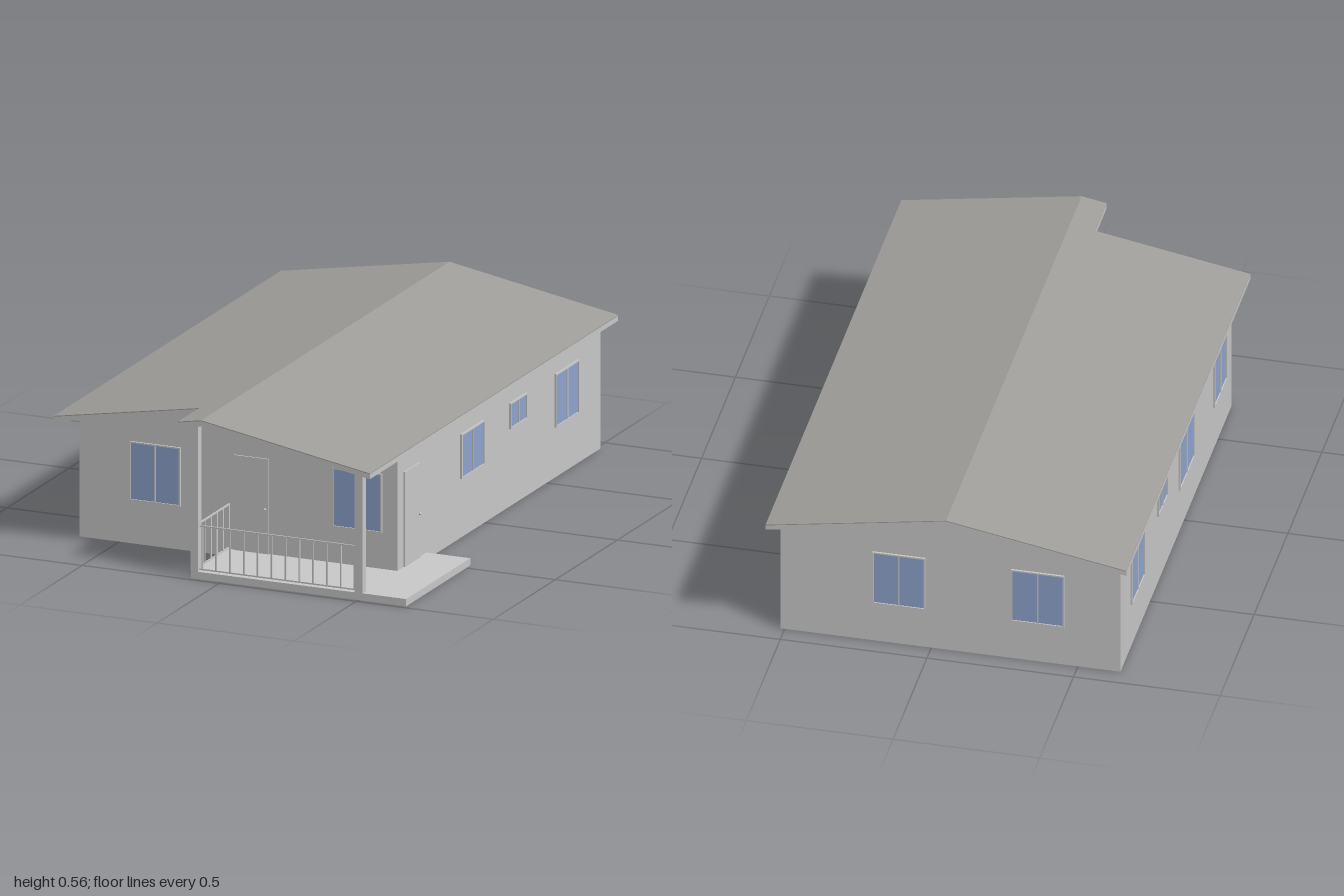
import * as THREE from 'three';

export function createModel() {
  const model = new THREE.Group();
  const wallMat = new THREE.MeshStandardMaterial({ color: 0xcacaca });
  wallMat.name = 'wallPaint';
  const roofMat = new THREE.MeshStandardMaterial({ color: 0xa09f9b });
  roofMat.name = 'roofing';
  const glassMat = new THREE.MeshStandardMaterial({ color: 0x8fa5cf });
  glassMat.name = 'windowGlass';

  const WALL = { x0: -0.645, x1: 0.515, z0: -0.935, z1: 0.7 };
  const RIDGE = -0.065;

  function add(parent, name, geometry, material) {
    const mesh = new THREE.Mesh(geometry, material);
    mesh.name = name;
    parent.add(mesh);
    return mesh;
  }
  // Box given by its two opposite corners
  function box(parent, name, mat, x0, x1, y0, y1, z0, z1) {
    const mesh = add(parent, name, new THREE.BoxGeometry(x1 - x0, y1 - y0, z1 - z0), mat);
    mesh.position.set((x0 + x1) / 2, (y0 + y1) / 2, (z0 + z1) / 2);
    return mesh;
  }
  // Cross-section in x and y, drawn out from z0 to z1
  function prism(parent, name, mat, points, z0, z1) {
    const shape = new THREE.Shape(points.map(([x, y]) => new THREE.Vector2(x, y)));
    const geo = new THREE.ExtrudeGeometry(shape, { depth: z1 - z0, bevelEnabled: false });
    return add(parent, name, geo.translate(0, 0, z0), mat);
  }
  // Heights of the roof's top and underside at x
  const slope = (x, eave, ridge) => x < RIDGE
    ? eave + (ridge - eave) * (x + 0.68) / (RIDGE + 0.68)
    : eave + (ridge - eave) * (0.55 - x) / (0.55 - RIDGE);
  const topY = (x) => slope(x, 0.45, 0.558);
  const underY = (x) => slope(x, 0.43, 0.536);

  // House body with gable ends
  prism(model, 'houseWalls', wallMat, [
    [WALL.x0, 0], [WALL.x1, 0], [WALL.x1, underY(WALL.x1)],
    [RIDGE, underY(RIDGE)], [WALL.x0, underY(WALL.x0)],
  ], WALL.z0, WALL.z1);

  // Roof: light deck with thin roofing on top, longer over the porch
  function roofPart(name, xs, z0, z1) {
    const back = [...xs].reverse();
    prism(model, name + 'Deck', wallMat,
      [...xs.map((x) => [x, underY(x)]), ...back.map((x) => [x, topY(x) - 0.003])], z0, z1);
    prism(model, name + 'Covering', roofMat,
      [...xs.map((x) => [x, topY(x) - 0.003]), ...back.map((x) => [x, topY(x)])], z0, z1);
  }
  roofPart('mainRoof', [-0.68, RIDGE, 0.55], -1, 0.83);
  roofPart('porchRoof', [-0.15, RIDGE, 0.55], 0.83, 1);

  // Group lying on one wall: local x along the wall, local z outward
  function onWall(name, side, along) {
    const g = new THREE.Group();
    g.name = name;
    if (side === 'front') g.position.set(along, 0, WALL.z1);
    if (side === 'back') { g.position.set(along, 0, WALL.z0); g.rotation.y = Math.PI; }
    if (side === 'left') { g.position.set(WALL.x1, 0, along); g.rotation.y = Math.PI / 2; }
    if (side === 'right') { g.position.set(WALL.x0, 0, along); g.rotation.y = -Math.PI / 2; }
    model.add(g);
    return g;
  }

  // Two-pane windows: wall, range along it, bottom, top
  const windows = [
    ['front', -0.46, -0.275, 0.15, 0.355],
    ['front', 0.278, 0.46, 0.15, 0.355],
    ['back', 0.02, 0.2, 0.15, 0.355],
    ['back', -0.455, -0.273, 0.15, 0.355],
    ['left', 0.01, 0.195, 0.205, 0.36],
    ['left', -0.333, -0.198, 0.27, 0.36],
    ['left', -0.75, -0.565, 0.175, 0.36],
    ['right', -0.785, -0.6, 0.17, 0.36],
    ['right', -0.397, -0.262, 0.27, 0.36],
    ['right', -0.08, 0.135, 0.17, 0.36],
    ['right', 0.428, 0.613, 0.17, 0.36],
  ];
  for (const [side, a, b, y0, y1] of windows) {
    const g = onWall('window', side, (a + b) / 2);
    const w = (b - a) / 2;
    const rect = (Type, l, r, bottom, top) => new Type([
      new THREE.Vector2(l, bottom), new THREE.Vector2(r, bottom),
      new THREE.Vector2(r, top), new THREE.Vector2(l, top),
    ]);
    const frame = rect(THREE.Shape, -w, w, y0, y1);
    const t = 0.005;
    frame.holes.push(
      rect(THREE.Path, -w + t, -t / 2, y0 + t, y1 - t),
      rect(THREE.Path, t / 2, w - t, y0 + t, y1 - t));
    add(g, 'windowFrame', new THREE.ExtrudeGeometry(frame, { depth: 0.007, bevelEnabled: false }), wallMat);
    box(g, 'windowPane', glassMat, -w + t, w - t, y0 + t, y1 - t, 0, 0.003);
  }

  // Doors with a knob
  for (const [side, a, b, knobSide] of [['front', -0.08, 0.047, 1], ['left', 0.525, 0.65, 1]]) {
    const g = onWall('door', side, (a + b) / 2);
    const w = (b - a) / 2;
    box(g, 'doorPanel', wallMat, -w, w, 0.025, 0.355, 0, 0.005);
    const knob = add(g, 'doorKnob', new THREE.SphereGeometry(0.005, 12, 8), wallMat);
    knob.position.set(knobSide * (w - 0.012), 0.18, 0.009);
  }

  // Porch slab, wrapping round to the side door
  box(model, 'porchFloor', wallMat, -0.11, 0.675, 0, 0.025, WALL.z1, 0.983);
  box(model, 'sideStep', wallMat, WALL.x1, 0.675, 0, 0.025, 0.467, WALL.z1);

  // Porch posts
  for (const x of [-0.112, 0.487]) {
    box(model, 'porchPost', wallMat, x, x + 0.028, 0.025, underY(x + 0.014) + 0.004, 0.955, 0.983);
  }

  // Railings along the porch front and its closed end
  const R = 0.0025;
  const rail = new THREE.Group();
  rail.name = 'porchRailing';
  model.add(rail);
  for (const y of [0.031, 0.181]) {
    box(rail, 'frontRail', wallMat, -0.084, 0.487, y - R, y + R, 0.969 - R, 0.969 + R);
    box(rail, 'endRail', wallMat, -0.098 - R, -0.098 + R, y - R, y + R, WALL.z1, 0.955);
  }
  for (let i = 0; i < 12; i++) {
    const x = -0.075 + i * 0.0505;
    box(rail, 'frontBaluster', wallMat, x - R, x + R, 0.031, 0.181, 0.969 - R, 0.969 + R);
  }
  for (let i = 0; i < 6; i++) {
    const z = 0.705 + i * 0.0485;
    box(rail, 'endBaluster', wallMat, -0.098 - R, -0.098 + R, 0.031, 0.181, z - R, z + R);
  }
  return model;
}
